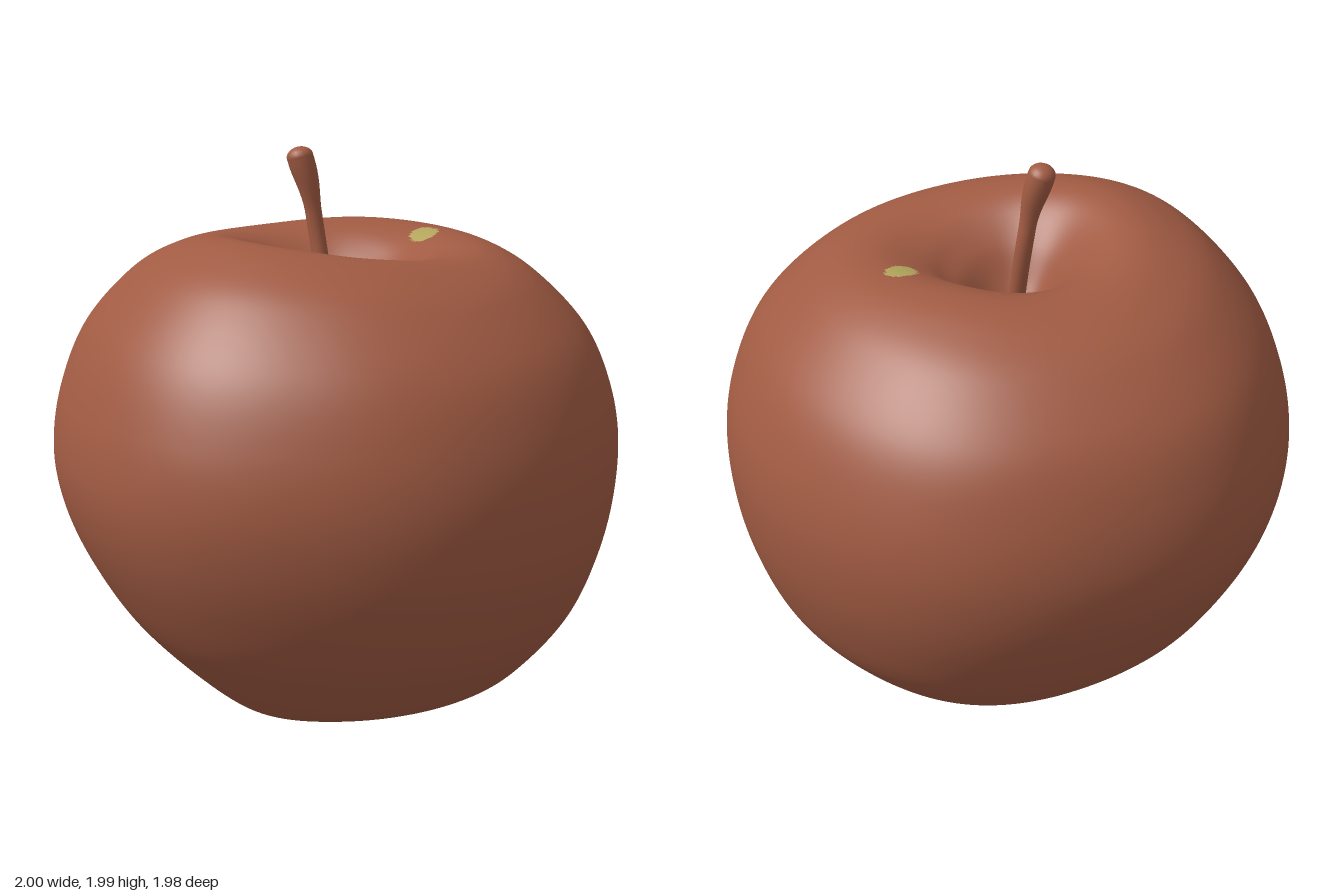
import * as THREE from 'three';

const skin = new THREE.MeshStandardMaterial({ color: 0xa15b43 });
skin.name = 'russet red';
const russet = new THREE.MeshStandardMaterial({ color: 0xb5a75e });
russet.name = 'olive yellow';

const { smoothstep } = THREE.MathUtils;

// Outline radius every 30 degrees, from +x towards +z
const LOBES = [1, 0.98, 0.968, 0.99, 0.97, 0.968, 1, 0.99, 1.005, 0.993, 1, 1.008];

function lobe(angle) {
  const t = (angle / (2 * Math.PI)) * 12;
  const i = Math.floor(t), f = t - i;
  const [a, b, c, d] = [-1, 0, 1, 2].map((k) => LOBES[(i + k + 12) % 12]);
  return b + 0.5 * f * (c - a + f * (2 * a - 5 * b + 4 * c - d + f * (3 * (b - c) + d - a)));
}

// Half section from the calyx basin, round the outside, into the stem pit
const PROFILE = [
  [0.001, 0.24], [0.06, 0.225], [0.13, 0.14], [0.2, 0.065], [0.28, 0.035], [0.39, 0.05], [0.51, 0.105],
  [0.645, 0.21], [0.81, 0.4], [0.915, 0.6], [0.98, 0.8], [1, 1], [0.965, 1.2], [0.875, 1.4],
  [0.71, 1.575], [0.56, 1.66], [0.42, 1.695], [0.3, 1.67], [0.19, 1.58], [0.11, 1.46], [0.05, 1.38], [0.001, 1.36],
].map(([r, y]) => new THREE.Vector2(r, y));

// Strength of a local dent in a rim around one direction
function dent(angle, degrees, r) {
  const c = Math.max(0, Math.cos(angle - THREE.MathUtils.degToRad(degrees)));
  return c ** 3 * smoothstep(r, 0.08, 0.25) * (1 - smoothstep(r, 0.3, 0.6));
}

// A point of the slightly leaning, uneven fruit
function bodyPoint({ x: r, y }, angle) {
  const k = r * lobe(angle);
  let x = k * Math.cos(angle), z = k * Math.sin(angle), h = y;
  if (y < 0.4) {
    h += 0.085 * x * (1 - smoothstep(r, 0.3, 0.65));
    h += 0.008 * Math.cos(5 * angle) * smoothstep(r, 0.05, 0.18) * (1 - smoothstep(r, 0.2, 0.4));
    h += 0.04 * dent(angle, 225, r);
  }
  if (y > 1.2) {
    const top = smoothstep(y, 1.2, 1.7) * smoothstep(r, 0.1, 0.4);
    h += top * (0.02 * Math.sin(angle) - 0.02 * Math.cos(2 * angle - 0.3));
    h -= 0.05 * dent(angle, 315, r);
  }
  const low = (1 - smoothstep(y, 0.1, 1)) * smoothstep(r, 0.15, 0.65);
  x += 0.06 * low;
  z -= 0.045 * low;
  return [x, h, z];
}

// Ragged patch round the calyx and one small fleck near the stem
function isRusset(x, y, z) {
  if (y < 0.5) {
    const dx = x + 0.07, dz = z - 0.1, a = Math.atan2(dz, dx);
    const edge = 0.36 + 0.015 * Math.sin(7 * a + 1) + 0.01 * Math.sin(17 * a) + 0.005 * Math.sin(31 * a);
    const hole = Math.hypot(x + 0.13, z - 0.42) < 0.03;
    return Math.hypot(dx, dz) < edge && !hole;
  }
  return y > 1.4 && Math.hypot((x - 0.16) / 0.047, (z + 0.37) / 0.062) < 1;
}

function makeBody() {
  const rows = 220, cols = 290;
  const section = new THREE.SplineCurve(PROFILE).getSpacedPoints(rows);
  const pos = [];
  for (const p of section)
    for (let j = 0; j < cols; j++) pos.push(...bodyPoint(p, (j / cols) * 2 * Math.PI));
  const faces = [[], []];
  for (let i = 0; i < rows; i++)
    for (let j = 0; j < cols; j++) {
      const a = i * cols + j, b = a + cols;
      const c = i * cols + ((j + 1) % cols), d = c + cols;
      for (const tri of [[a, b, c], [b, d, c]]) {
        const mid = [0, 1, 2].map((k) => tri.reduce((s, v) => s + pos[v * 3 + k], 0) / 3);
        faces[isRusset(...mid) ? 1 : 0].push(...tri);
      }
    }
  const geo = new THREE.BufferGeometry();
  geo.setAttribute('position', new THREE.Float32BufferAttribute(pos, 3));
  geo.setIndex(faces[0].concat(faces[1]));
  geo.addGroup(0, faces[0].length, 0);
  geo.addGroup(faces[0].length, faces[1].length, 1);
  geo.computeVertexNormals();
  const mesh = new THREE.Mesh(geo, [skin, russet]);
  mesh.name = 'body';
  return mesh;
}

// Bent stalk that thickens towards a rounded tip
function makeStem() {
  const group = new THREE.Group();
  group.name = 'stem';
  const path = new THREE.CatmullRomCurve3([
    [0, 1.32, 0], [-0.03, 1.5, -0.015], [-0.068, 1.71, -0.02], [-0.088, 1.86, -0.005], [-0.113, 1.965, 0.012],
  ].map((p) => new THREE.Vector3(...p)));
  const rings = 32, sides = 16;
  const geo = new THREE.TubeGeometry(path, rings, 1, sides);
  const pos = geo.attributes.position, v = new THREE.Vector3();
  for (let i = 0; i <= rings; i++) {
    const t = i / rings, c = path.getPointAt(t);
    const radius = 0.029 + 0.017 * smoothstep(t, 0.7, 0.97) + 0.006 * (1 - smoothstep(t, 0, 0.2));
    for (let j = 0; j <= sides; j++) {
      const k = i * (sides + 1) + j;
      v.fromBufferAttribute(pos, k).sub(c).multiplyScalar(radius).add(c);
      pos.setXYZ(k, v.x, v.y, v.z);
    }
  }
  geo.computeVertexNormals();
  const stalk = new THREE.Mesh(geo, skin);
  stalk.name = 'stalk';
  const tip = new THREE.Mesh(new THREE.SphereGeometry(0.046, 20, 12), skin);
  tip.name = 'stemTip';
  tip.scale.y = 0.75;
  tip.position.copy(path.getPointAt(1));
  tip.rotation.z = 0.24;
  group.add(stalk, tip);
  return group;
}

// Ring of small dry points fanning out from a centre
function makePoints(name, count, y, length, radius, dir) {
  const group = new THREE.Group();
  group.name = name;
  const geo = new THREE.ConeGeometry(radius, length, 6).translate(0, length / 2, 0);
  const up = new THREE.Vector3(0, 1, 0);
  for (let i = 0; i < count; i++) {
    const a = (i / count) * 2 * Math.PI + 0.3 * Math.sin(i * 5);
    const point = new THREE.Mesh(geo, skin);
    point.name = name + 'Point';
    point.position.set(0.03 * Math.cos(a), y, 0.03 * Math.sin(a));
    const aim = new THREE.Vector3(Math.cos(a), dir * (0.7 + 0.4 * Math.sin(i * 3)), Math.sin(a)).normalize();
    point.quaternion.setFromUnitVectors(up, aim);
    group.add(point);
  }
  return group;
}

export function createModel() {
  const model = new THREE.Group();
  model.name = 'apple';
  model.add(makeBody(), makeStem());
  model.add(makePoints('stemBase', 9, 1.37, 0.06, 0.012, 1));
  model.add(makePoints('calyx', 12, 0.205, 0.1, 0.022, -1));
  return model;
}
